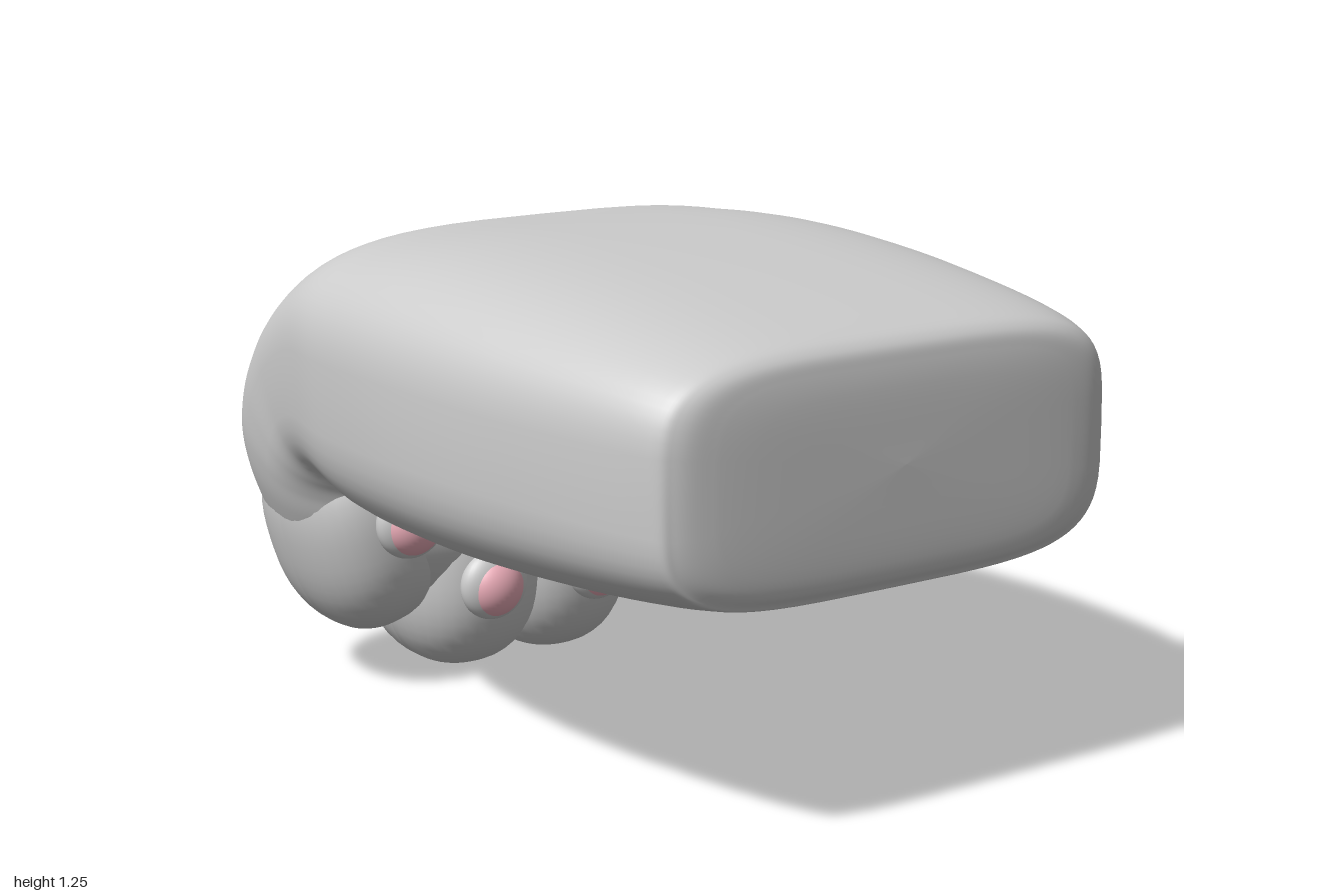
import * as THREE from 'three';

const grey = new THREE.MeshStandardMaterial({ color: 0xcccccc });
const pink = new THREE.MeshStandardMaterial({ color: 0xf0b0bc });

// signed power, gives superellipse coordinates
const spow = (v, n) => Math.sign(v) * Math.pow(Math.abs(v), 2 / n);

// Stations along the bent limb: outer z, y | inner z, y | half width | squareness
const stations = [
  [1.0, 0.85, 1.0, 0.85, 0, 4.5],
  [0.992, 1.07, 0.99, 0.63, 0.5, 4.5],
  [0.975, 1.12, 0.97, 0.575, 0.6, 4.3],
  [0.93, 1.145, 0.93, 0.555, 0.645, 4],
  [0.5, 1.215, 0.5, 0.51, 0.745, 3.5],
  [0.0, 1.25, 0.1, 0.495, 0.785, 3.4],
  [-0.3, 1.24, -0.25, 0.505, 0.77, 3.4],
  [-0.5, 1.215, -0.4, 0.535, 0.745, 3.4],
  [-0.75, 1.07, -0.445, 0.55, 0.725, 3.3],
  [-0.9, 0.9, -0.455, 0.53, 0.715, 3.2],
  [-0.98, 0.75, -0.45, 0.5, 0.7, 3],
  [-1.0, 0.6, -0.44, 0.45, 0.67, 2.8],
  [-0.985, 0.42, -0.45, 0.35, 0.6, 2.6],
  [-0.93, 0.29, -0.5, 0.25, 0.5, 2.5],
  [-0.85, 0.2, -0.58, 0.18, 0.38, 2.4],
  [-0.72, 0.15, -0.72, 0.15, 0, 2.4],
];

// Smooth loft of superellipse rings through the stations
function limbGeometry(steps = 120, sides = 72) {
  const outer = new THREE.CatmullRomCurve3(stations.map(s => new THREE.Vector3(s[4], s[1], s[0])));
  const inner = new THREE.CatmullRomCurve3(stations.map(s => new THREE.Vector3(s[5], s[3], s[2])));
  const pos = [], index = [];
  for (let i = 0; i <= steps; i++) {
    const o = outer.getPoint(i / steps), n = inner.getPoint(i / steps);
    for (let j = 0; j < sides; j++) {
      const a = (j / sides) * Math.PI * 2;
      const u = spow(Math.cos(a), n.x), v = spow(Math.sin(a), n.x);
      pos.push(o.x * u, (o.y + n.y) / 2 + v * (o.y - n.y) / 2, (o.z + n.z) / 2 + v * (o.z - n.z) / 2);
      if (i === steps) continue;
      const k = (j + 1) % sides, p = i * sides, q = p + sides;
      index.push(p + j, q + j, p + k, p + k, q + j, q + k);
    }
  }
  const geo = new THREE.BufferGeometry();
  geo.setAttribute('position', new THREE.Float32BufferAttribute(pos, 3));
  geo.setIndex(index);
  geo.computeVertexNormals();
  return geo;
}

// Sphere pushed towards a rounded box by exponent n
function puffGeometry(rx, ry, rz, n = 2) {
  const geo = new THREE.SphereGeometry(1, 40, 28);
  const p = geo.attributes.position;
  for (let i = 0; i < p.count; i++) {
    const x = p.getX(i), y = p.getY(i), z = p.getZ(i);
    const k = Math.pow(Math.abs(x) ** n + Math.abs(y) ** n + Math.abs(z) ** n, -1 / n);
    p.setXYZ(i, x * k * rx, y * k * ry, z * k * rz);
  }
  geo.computeVertexNormals();
  return geo;
}

export function createModel() {
  const group = new THREE.Group();
  const add = (name, geo, mat, x, y, z, rz = 0) => {
    const mesh = new THREE.Mesh(geo, mat);
    mesh.name = name;
    mesh.position.set(x, y, z);
    mesh.rotation.z = rz;
    group.add(mesh);
  };

  // Cushioned limb bending down into the paw
  add('limb', limbGeometry(), grey, 0, 0, 0);

  // Toes and toe pads, mirrored
  const innerToe = puffGeometry(0.21, 0.3, 0.27, 2.4);
  const outerToe = puffGeometry(0.19, 0.28, 0.245, 2.4);
  const pad = puffGeometry(0.085, 0.085, 0.07);
  const rim = puffGeometry(0.098, 0.095, 0.05);
  for (const [side, s] of [['left', 1], ['right', -1]]) {
    add(side + 'InnerToe', innerToe, grey, s * 0.143, 0.3, -0.7);
    add(side + 'OuterToe', outerToe, grey, s * 0.445, 0.42, -0.7, s * -0.28);
    add(side + 'InnerPadRim', rim, grey, s * 0.165, 0.27, -0.44);
    add(side + 'InnerPad', pad, pink, s * 0.165, 0.265, -0.445);
    add(side + 'OuterPadRim', rim, grey, s * 0.415, 0.475, -0.435);
    add(side + 'OuterPad', pad, pink, s * 0.415, 0.472, -0.435);
  }

  // Large palm pad tucked under the bend
  add('palmPad', puffGeometry(0.28, 0.11, 0.12), pink, 0, 0.54, -0.425);
  return group;
}
